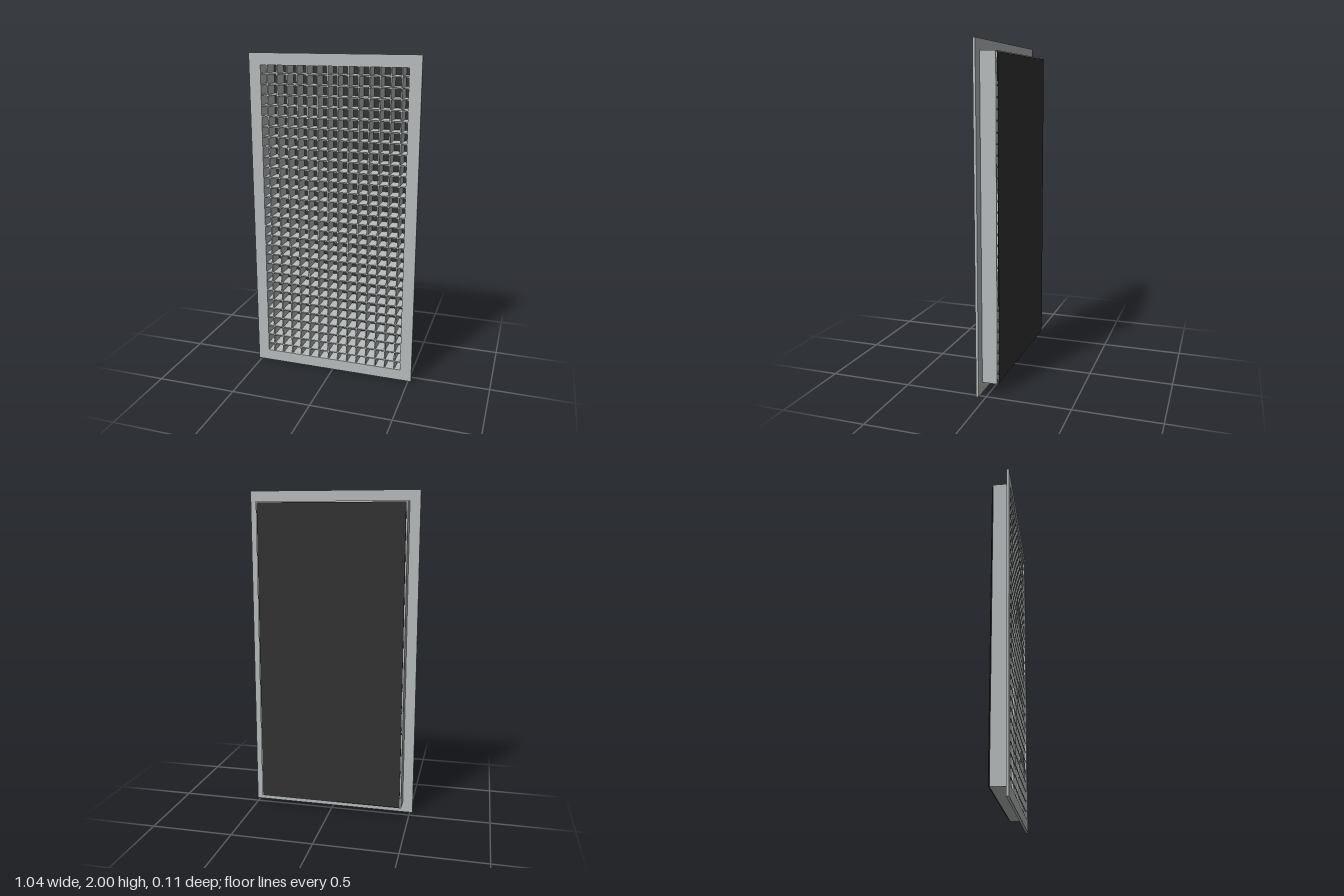
import * as THREE from 'three';

const metal = new THREE.MeshStandardMaterial({ color: 0xb9bdbd });
metal.name = 'light grey metal';
const dark = new THREE.MeshStandardMaterial({ color: 0x333333 });
dark.name = 'dark backing';

const OPEN_W = 0.892, OPEN_H = 1.86; // clear opening
const BACK = -0.051, FLANGE = 0.04, FRONT = 0.055;

// Rectangular ring with the clear opening cut out, extruded from z0 to z1
function ring(name, w, h, z0, z1) {
  const rect = (P, a, b) => new P([
    new THREE.Vector2(-a / 2, -b / 2), new THREE.Vector2(a / 2, -b / 2),
    new THREE.Vector2(a / 2, b / 2), new THREE.Vector2(-a / 2, b / 2),
  ]);
  const shape = rect(THREE.Shape, w, h);
  shape.holes.push(rect(THREE.Path, OPEN_W, OPEN_H));
  const geo = new THREE.ExtrudeGeometry(shape, { depth: z1 - z0, bevelEnabled: false });
  const mesh = new THREE.Mesh(geo, metal);
  mesh.name = name;
  mesh.position.set(0, 1, z0);
  return mesh;
}

function box(name, material, w, h, d, x, y, z) {
  const mesh = new THREE.Mesh(new THREE.BoxGeometry(w, h, d), material);
  mesh.name = name;
  mesh.position.set(x, y, z);
  return mesh;
}

export function createModel() {
  const model = new THREE.Group();
  model.name = 'ventGrille';

  // Front flange and the duct collar behind it
  model.add(ring('flange', 1.036, 2, FLANGE, FRONT));
  model.add(ring('collar', 0.91, 1.874, BACK, FLANGE));

  // Egg-crate grid of thin crossing blades
  const grid = new THREE.Group();
  grid.name = 'grid';
  const blade = 0.007, zFront = 0.05;
  const depth = zFront - BACK, zMid = (zFront + BACK) / 2;
  const columns = 14, rows = 29, stepX = 0.0625, stepY = 0.0628;
  for (let i = 0; i < columns; i++) {
    const x = (i - (columns - 1) / 2) * stepX;
    grid.add(box('verticalBlade', metal, blade, OPEN_H, depth, x, 1, zMid));
  }
  for (let i = 0; i < rows; i++) {
    const y = 1 + (i - (rows - 1) / 2) * stepY;
    grid.add(box('horizontalBlade', metal, OPEN_W, blade, depth, 0, y, zMid));
  }
  model.add(grid);

  // Dark sheet floating just behind the collar
  model.add(box('backPanel', dark, OPEN_W, OPEN_H, 0.004, 0, 1, -0.058));
  return model;
}
